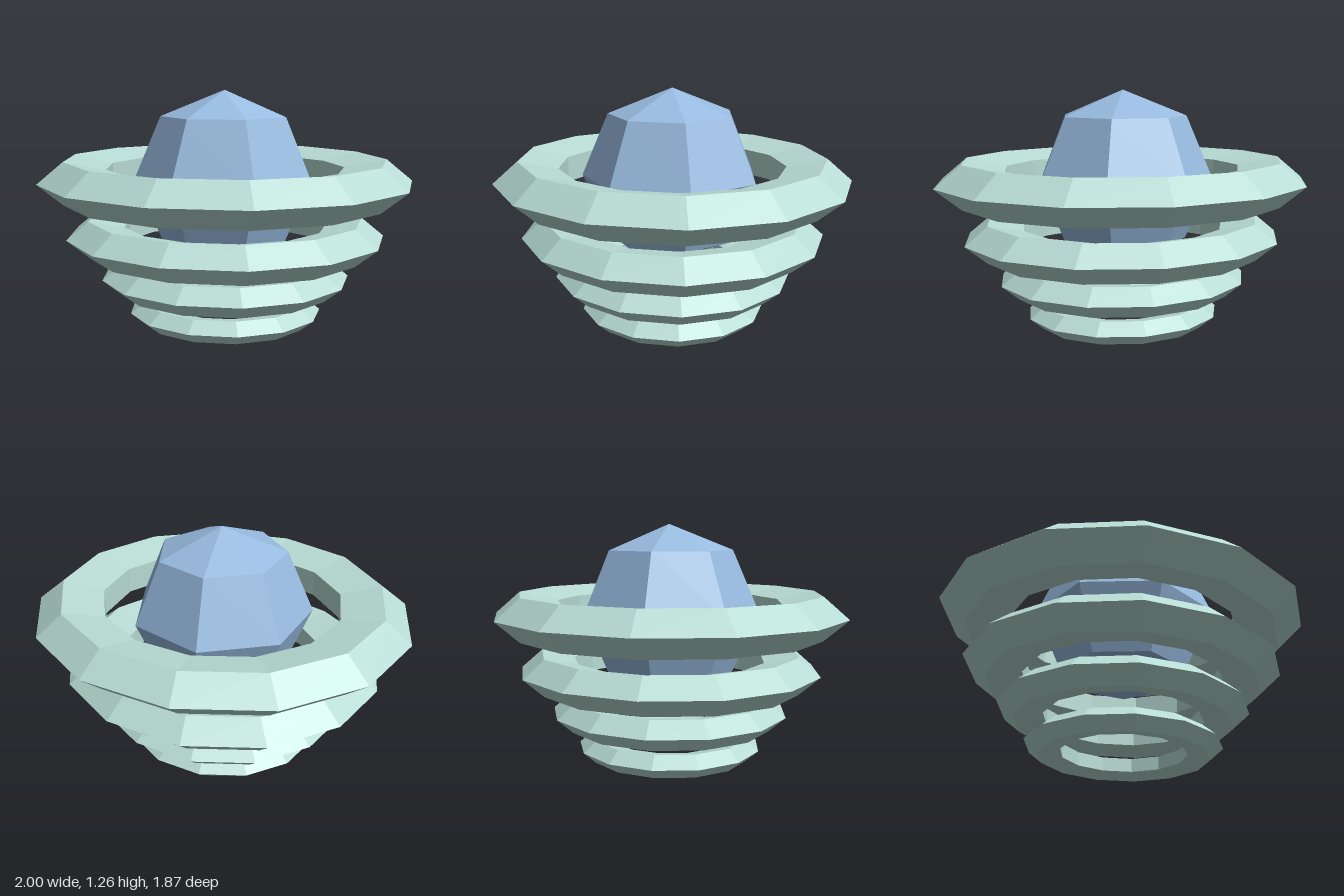
import * as THREE from 'three';

const DEG = Math.PI / 180;
const FLATTEN = 0.592; // ring thickness relative to its width
const OVAL = 0.936;    // ring depth relative to its width

// Low-poly oval ring with a flattened five-sided section
function makeRing(outer, y, material) {
  const tube = outer * 0.2;
  const geometry = new THREE.TorusGeometry(outer - tube, tube, 5, 13);
  geometry.rotateX(Math.PI / 2);
  geometry.rotateY(-9.7 * DEG);
  geometry.scale(1, FLATTEN, OVAL);
  const ring = new THREE.Mesh(geometry, material);
  ring.position.y = y;
  return ring;
}

export function createModel() {
  const model = new THREE.Group();
  model.name = 'ringedGem';
  const ringMaterial = new THREE.MeshStandardMaterial({ color: 0xb8dcd4, flatShading: true });
  const coreMaterial = new THREE.MeshStandardMaterial({ color: 0x98bbe0, flatShading: true });

  // Stack of four floating rings, widening upward: [outer radius, height]
  const rings = [[0.5255, 0.06], [0.677, 0.252], [0.863, 0.477], [1.0085, 0.778]];
  rings.forEach(([outer, y], i) => {
    const ring = makeRing(outer, y, ringMaterial);
    ring.name = `ring${i + 1}`;
    model.add(ring);
  });

  // Seven-sided faceted core
  const coreGeometry = new THREE.SphereGeometry(0.481, 7, 4);
  coreGeometry.rotateY(178 * DEG);
  coreGeometry.scale(1, 0.971, 1);
  const core = new THREE.Mesh(coreGeometry, coreMaterial);
  core.name = 'core';
  core.position.y = 0.79;
  model.add(core);

  // Centre the uneven outline
  model.children.forEach((part) => {
    part.position.x = 0.005;
    part.position.z = -0.008;
  });
  return model;
}
